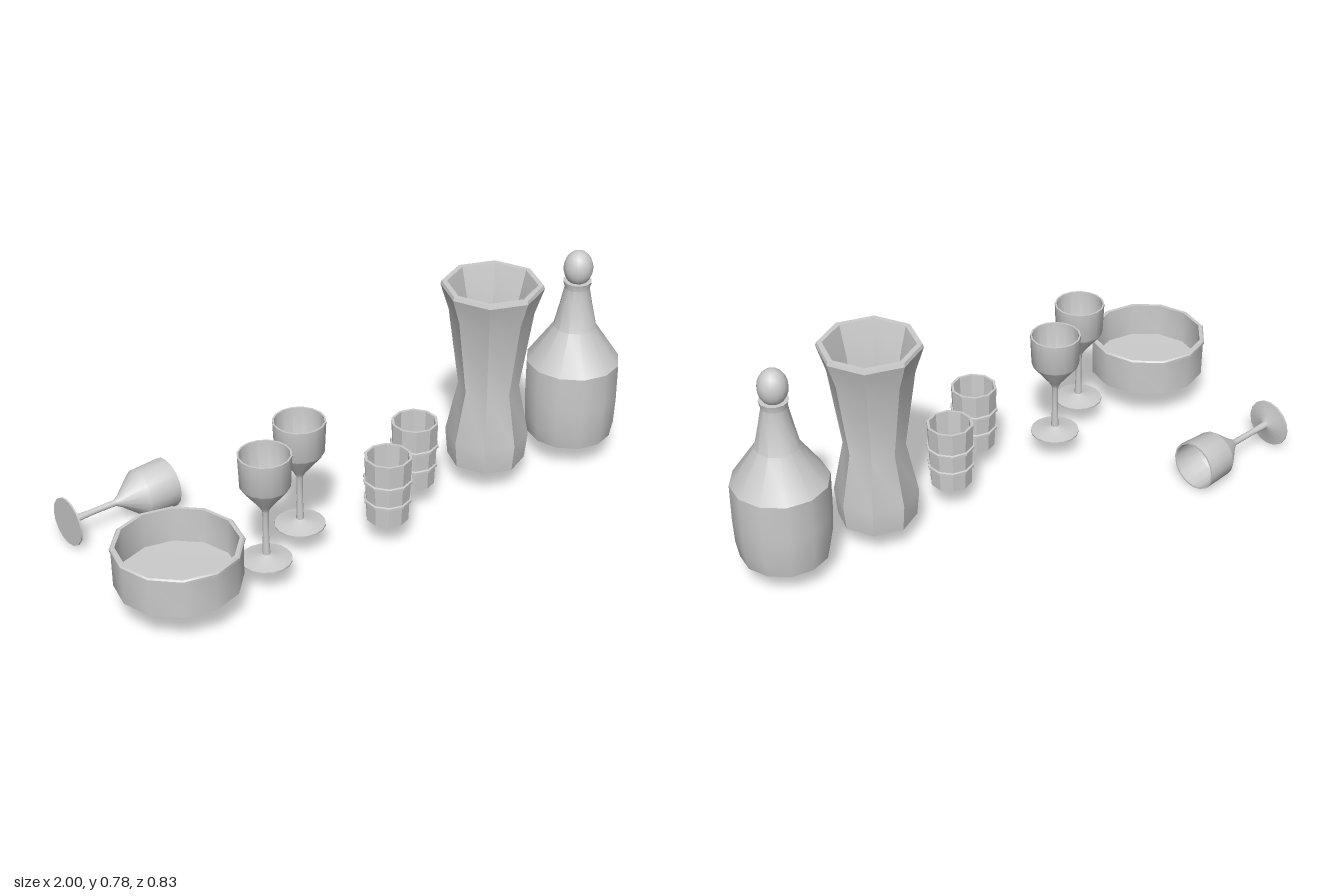
import * as THREE from 'three';
import { toCreasedNormals } from 'three/addons/utils/BufferGeometryUtils.js';

const material = new THREE.MeshStandardMaterial({ color: 0xcccccc, side: THREE.DoubleSide });

// Revolve a [radius, height] profile; turned at large scale so small details crease cleanly.
function turned(name, profile, sides) {
  const points = profile.map(([r, y]) => new THREE.Vector2(r * 100, y * 100));
  const geometry = toCreasedNormals(new THREE.LatheGeometry(points, sides), 0.57);
  geometry.scale(0.01, 0.01, 0.01);
  const mesh = new THREE.Mesh(geometry, material);
  mesh.name = name;
  return mesh;
}

function goblet(name) {
  return turned(name, [
    [0, 0], [0.084, 0], [0.084, 0.006], [0.03, 0.016], [0.013, 0.024],
    [0.010, 0.10], [0.011, 0.185], [0.022, 0.205], [0.079, 0.277], [0.082, 0.283],
    [0.087, 0.393], [0.081, 0.393], [0.076, 0.287], [0.05, 0.245], [0, 0.215],
  ], 16);
}

function tumbler(name) {
  const group = new THREE.Group();
  group.name = name;
  group.add(turned('tumblerCup', [
    [0, 0], [0.071, 0], [0.08, 0.232], [0.071, 0.232], [0.063, 0.015], [0, 0.015],
  ], 10));
  // Raised bands
  for (const [y, r] of [[0.072, 0.074], [0.145, 0.077]]) {
    group.add(turned('tumblerBand', [
      [r - 0.002, y - 0.007], [r + 0.006, y - 0.004], [r + 0.006, y + 0.004], [r - 0.002, y + 0.007],
    ], 10));
  }
  return group;
}

export function createModel() {
  const model = new THREE.Group();
  model.name = 'tableware';
  const place = (object, x, z, y = 0.09) => {
    object.position.set(x, y, z);
    model.add(object);
    return object;
  };

  // Shallow round bowl with a stepped foot and rim
  place(turned('bowl', [
    [0, 0.005], [0.12, 0.008], [0.178, 0.018], [0.185, 0.03], [0.204, 0.03], [0.206, 0.155],
    [0.21, 0.157], [0.21, 0.165], [0.205, 0.17], [0.193, 0.17], [0.19, 0.05], [0, 0.045],
  ], 12), -0.79, 0.2);

  // Two standing goblets and one on its side
  place(goblet('goblet'), -0.485, 0.245);
  place(goblet('goblet'), -0.277, 0.15);
  place(goblet('fallenGoblet'), -0.866, -0.332).rotation.z = -Math.PI / 2;

  // Banded tumblers
  place(tumbler('tumbler'), -0.024, 0.29);
  place(tumbler('tumbler'), 0.186, 0.175);

  // Eight-sided flared vase
  place(turned('vase', [
    [0, 0], [0.132, 0], [0.141, 0.095], [0.103, 0.28], [0.142, 0.555], [0.172, 0.648],
    [0.168, 0.66], [0.15, 0.66], [0.122, 0.555], [0.086, 0.28], [0.115, 0.095], [0.105, 0.02], [0, 0.02],
  ], 8), 0.488, 0.202);

  // Bottle with an egg-shaped stopper
  place(turned('bottle', [
    [0, 0], [0.147, 0], [0.158, 0.06], [0.162, 0.15], [0.162, 0.28], [0.074, 0.41],
    [0.056, 0.49], [0.043, 0.555], [0.049, 0.58], [0, 0.58],
  ], 12), 0.835, 0.25);
  const stopper = new THREE.Mesh(new THREE.SphereGeometry(0.05, 16, 12), material);
  stopper.name = 'bottleStopper';
  stopper.scale.y = 1.25;
  place(stopper, 0.835, 0.25, 0.717);

  return model;
}
